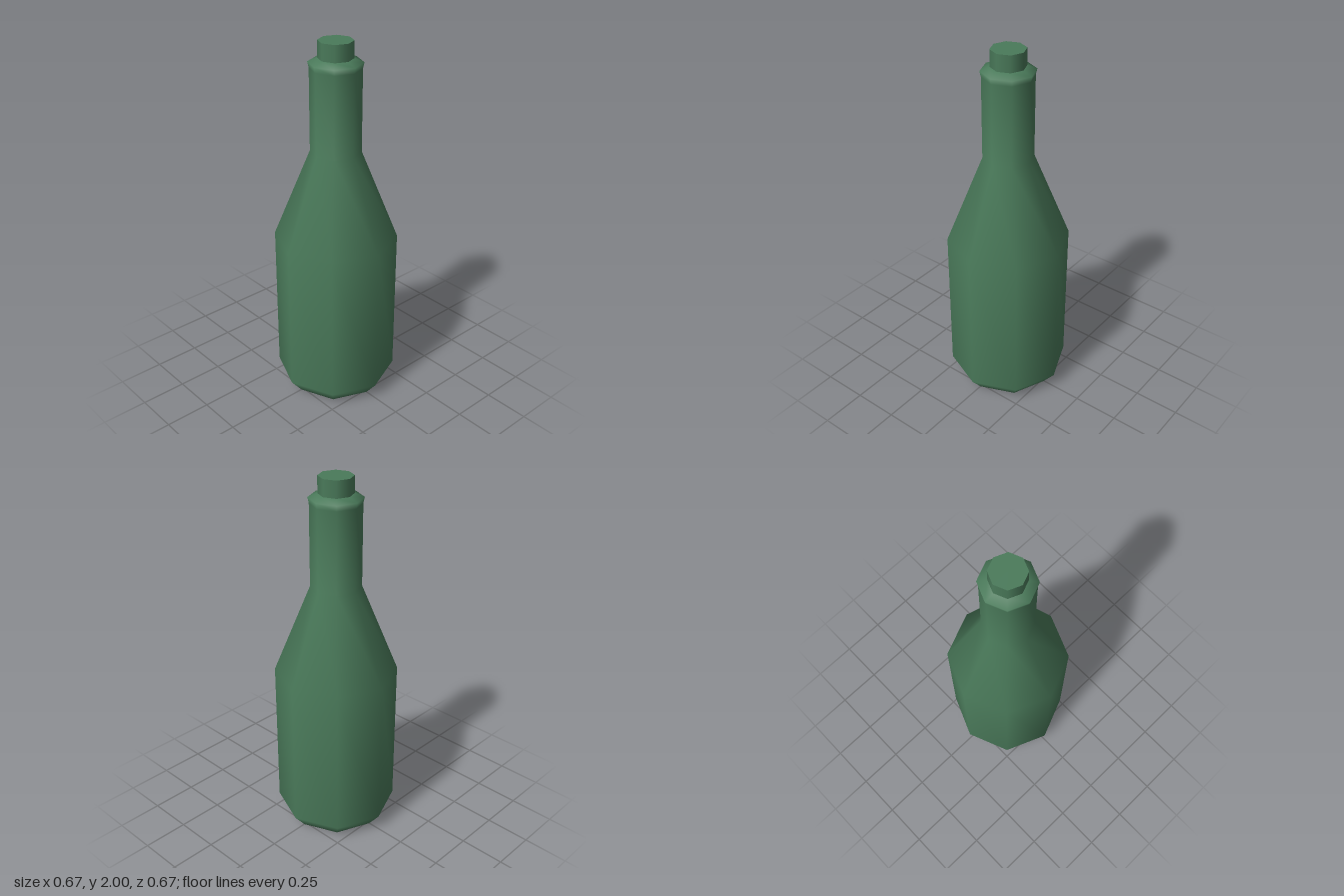
import * as THREE from 'three';

const SIDES = 8;

export function createModel() {
  const bottle = new THREE.Group();
  bottle.name = 'bottle';
  const green = new THREE.MeshStandardMaterial({ color: 0x4a7a5a });
  green.name = 'bottleGreen';

  const add = (name, geometry, y = 0) => {
    const mesh = new THREE.Mesh(geometry, green);
    mesh.name = name;
    mesh.position.y = y;
    bottle.add(mesh);
  };

  // Body, shoulder, neck and flared lip, smooth shaded around eight sides
  const profile = [
    [0.265, 0], [0.333, 0.085], [0.333, 0.925], [0.135, 1.415],
    [0.135, 1.86], [0.142, 1.89], [0.092, 1.91],
  ].map(([r, y]) => new THREE.Vector2(r, y));
  add('bottleBody', new THREE.LatheGeometry(profile, SIDES));

  // Flat underside
  add('base', new THREE.CircleGeometry(0.265, SIDES).rotateX(Math.PI / 2));

  // Stopper in the neck, with a flat top
  add('stopper', new THREE.CylinderGeometry(0.092, 0.092, 0.1, SIDES), 1.95);

  return bottle;
}
